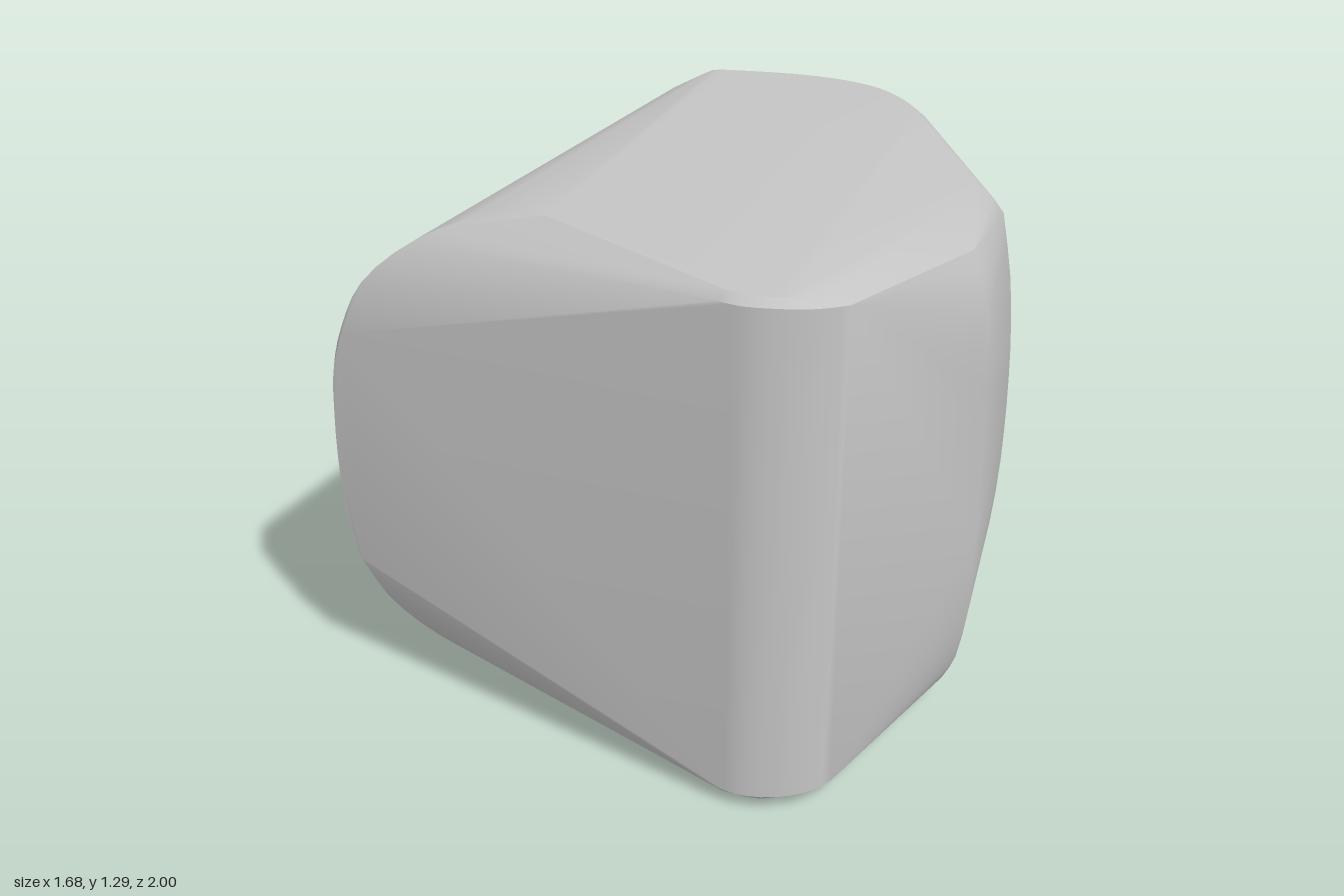
import * as THREE from 'three';
import { ConvexGeometry } from 'three/addons/geometries/ConvexGeometry.js';
import { toCreasedNormals } from 'three/addons/utils/BufferGeometryUtils.js';

const MID = 0.65; // the block is mirrored above and below this height

export function createModel() {
  const stone = new THREE.MeshStandardMaterial({ color: 0xc4c4c4 });
  stone.name = 'stone grey';
  const points = [];

  // Adds a point and its mirror below the middle; h is the height above it
  const add = (x, z, h) => {
    points.push(new THREE.Vector3(x, MID + h, z), new THREE.Vector3(x, MID - h, z));
  };
  // Samples a smooth curve through [x, z, h] points
  const addCurve = (list, n) => {
    const curve = new THREE.CatmullRomCurve3(list.map(([x, z, h]) => new THREE.Vector3(x, h, z)), false, 'centripetal');
    curve.getPoints(n).forEach((p) => add(p.x, p.z, p.y));
  };

  // Rounded left flank: front rim and back rim of the swept curve
  addCurve([[-0.84, 0.455, 0.04], [-0.83, 0.46, 0.2], [-0.8, 0.47, 0.31], [-0.74, 0.477, 0.43], [-0.6, 0.49, 0.545], [-0.42, 0.51, 0.62], [-0.28, 0.58, 0.645]], 18);
  addCurve([[-0.33, -0.92, 0.04], [-0.32, -0.92, 0.2], [-0.29, -0.92, 0.31], [-0.23, -0.92, 0.43], [-0.15, -0.925, 0.52], [0.0, -0.955, 0.592]], 14);

  // Front wall, from the left corner to the rounded front edge
  addCurve([[-0.835, 0.48, 0.03], [-0.825, 0.485, 0.2], [-0.79, 0.505, 0.31]], 5);
  add(0.13, 0.965, 0.605);

  // Rounded vertical front edge with its thin bevel
  addCurve([[0.13, 0.965, 0.605], [0.18, 0.99, 0.605], [0.24, 0.998, 0.605], [0.31, 0.99, 0.602], [0.36, 0.97, 0.599], [0.4, 0.94, 0.594]], 10);
  addCurve([[0.15, 0.955, 0.625], [0.24, 0.98, 0.623], [0.35, 0.95, 0.614]], 6);

  // Faceted right side: two upright ridges with bevelled ends
  addCurve([[0.73, 0.58, 0.15], [0.726, 0.578, 0.34], [0.706, 0.566, 0.49], [0.68, 0.535, 0.572]], 6);
  addCurve([[0.838, 0.12, 0], [0.835, 0.12, 0.16], [0.82, 0.12, 0.35], [0.79, 0.12, 0.52]], 6);
  add(0.765, 0.12, 0.555);
  add(0.72, 0.12, 0.58);

  // Rounded back corner, outer wall and inset top rim
  const back = [[0.05, -0.985], [0.15, -0.98], [0.3, -0.962], [0.42, -0.92], [0.52, -0.85], [0.59, -0.74], [0.63, -0.62], [0.65, -0.5]];
  addCurve(back.map(([x, z]) => [x, z, 0.558]), 20);
  addCurve(back.map(([x, z]) => [x - 0.025, z + 0.025, 0.595 - 0.02 * x]), 20);

  // Narrow upright facet at the back left
  addCurve([[-0.2, -0.998, 0.15], [-0.185, -0.997, 0.28], [-0.13, -0.994, 0.41], [-0.04, -0.989, 0.5], [0.05, -0.985, 0.558]], 8);

  const block = new THREE.Mesh(toCreasedNormals(new ConvexGeometry(points), 0.58), stone);
  block.name = 'stoneBlock';

  const group = new THREE.Group();
  group.name = 'stone';
  group.add(block);
  return group;
}
